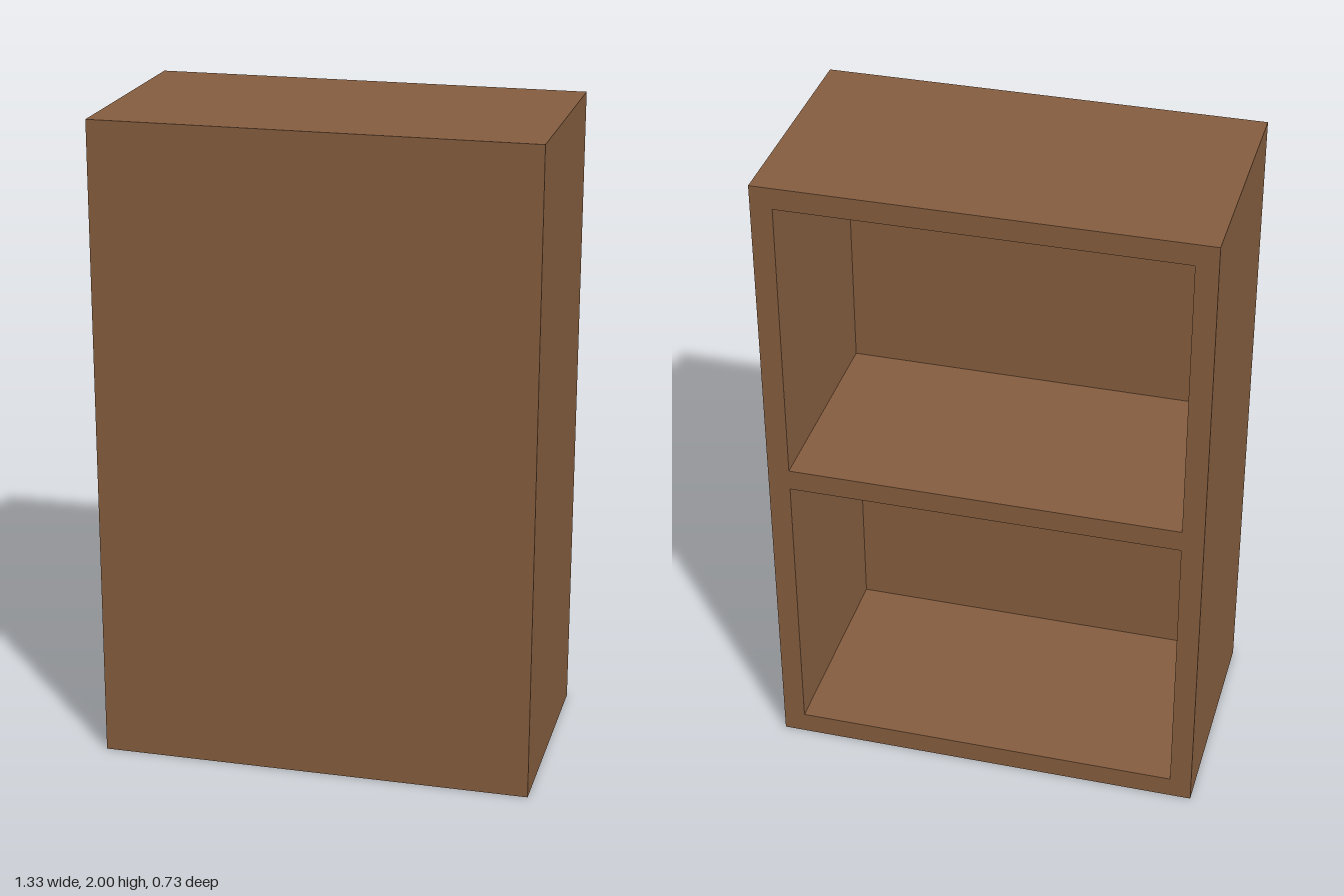
import * as THREE from 'three';

export function createModel() {
  const model = new THREE.Group();
  model.name = 'shelfCabinet';
  const wood = new THREE.MeshStandardMaterial({ color: 0x835c3e });

  const U = 1 / 15; // board thickness
  const W = 20 * U, H = 30 * U, D = 11 * U;
  const openingHeight = 13.5 * U;

  const rect = (Type, x0, y0, x1, y1) => {
    const r = new Type();
    r.moveTo(x0, y0);
    r.lineTo(x1, y0);
    r.lineTo(x1, y1);
    r.lineTo(x0, y1);
    r.closePath();
    return r;
  };

  // Carcass: sides, top, bottom and middle shelf around two compartments open at the back
  const outline = rect(THREE.Shape, -W / 2, 0, W / 2, H);
  for (let i = 0; i < 2; i++) {
    const y = U + i * (openingHeight + U);
    outline.holes.push(rect(THREE.Path, -W / 2 + U, y, W / 2 - U, y + openingHeight));
  }
  const carcass = new THREE.Mesh(
    new THREE.ExtrudeGeometry(outline, { depth: D - U, bevelEnabled: false }), wood);
  carcass.name = 'carcassWithShelf';
  carcass.position.z = -D / 2;
  model.add(carcass);

  // Solid panel closing the front
  const panel = new THREE.Mesh(new THREE.BoxGeometry(W, H, U), wood);
  panel.name = 'frontPanel';
  panel.position.set(0, H / 2, D / 2 - U / 2);
  model.add(panel);

  return model;
}
